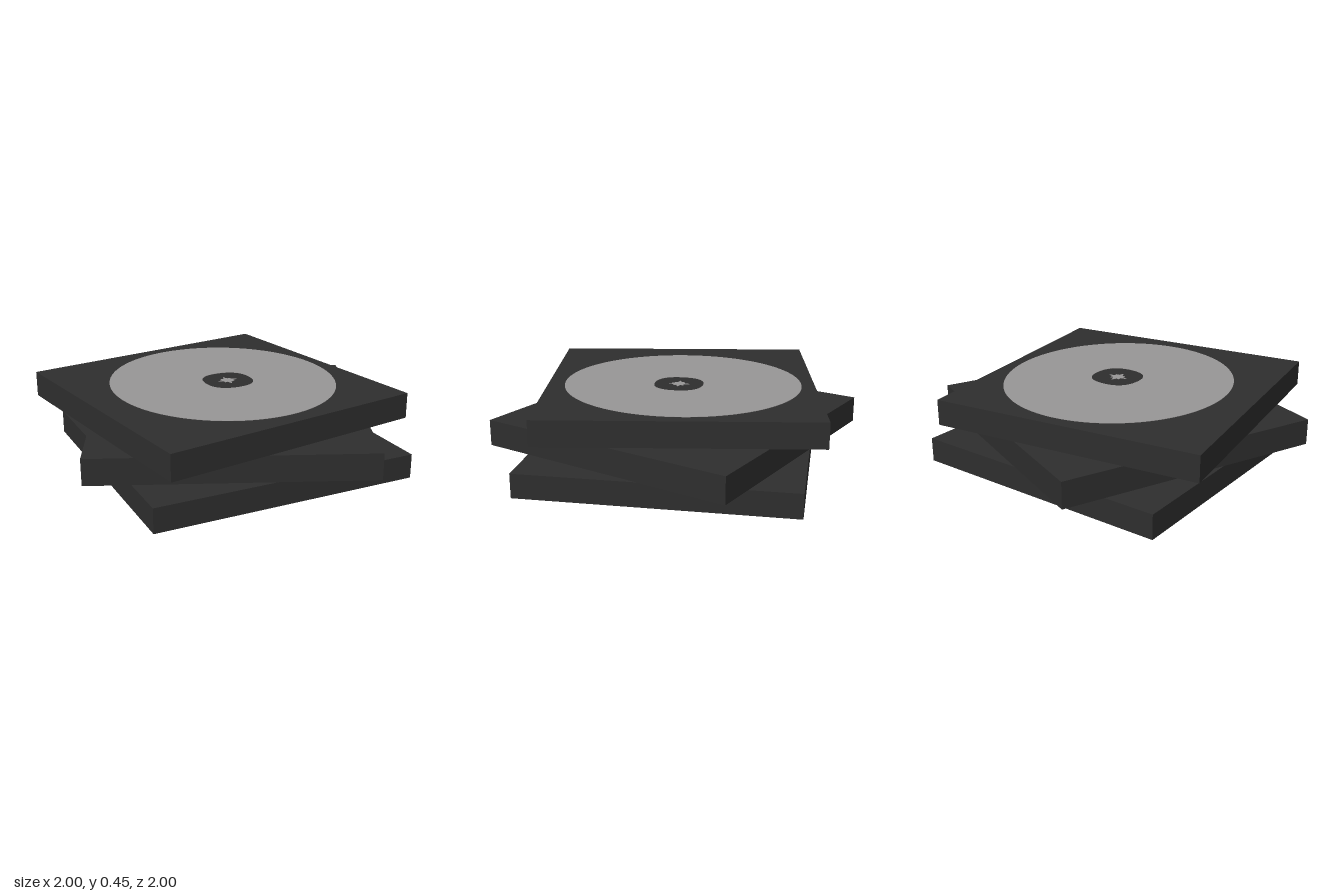
import * as THREE from 'three';

const black = new THREE.MeshStandardMaterial({ color: 0x2e2e2e });
black.name = 'charcoal black';
const grey = new THREE.MeshStandardMaterial({ color: 0x989696 });
grey.name = 'disc grey';

const SIDE = 1.523;

// Square case lying flat between two heights
function makeCase(name, bottom, top, x, turn) {
  const mesh = new THREE.Mesh(new THREE.BoxGeometry(SIDE, top - bottom, SIDE), black);
  mesh.name = name;
  mesh.position.set(x, (bottom + top) / 2, 0);
  mesh.rotation.y = turn;
  return mesh;
}

// Flat printed shape, drawn in x and -z, just above the top case
function makePrint(name, shape) {
  const geometry = new THREE.ExtrudeGeometry(shape, { depth: 0.003, bevelEnabled: false, curveSegments: 64 });
  geometry.rotateX(-Math.PI / 2);
  const mesh = new THREE.Mesh(geometry, grey);
  mesh.name = name;
  mesh.position.y = 0.449;
  return mesh;
}

export function createModel() {
  const group = new THREE.Group();
  group.name = 'stackedDiscCases';

  // Stack of three twisted cases
  group.add(
    makeCase('bottomCase', 0, 0.138, 0, 0),
    makeCase('middleCase', 0.153, 0.3, 0, -0.405),
    makeCase('topCase', 0.306, 0.45, -0.07, 0.152),
  );

  // Disc with a dark hub opening
  const disc = new THREE.Shape().absellipse(-0.017, 0.018, 0.638, 0.678, 0, Math.PI * 2);
  const hub = [];
  for (let i = 0; i < 48; i++) {
    const a = (i / 48) * Math.PI * 2;
    const r = 0.144 - 0.004 * Math.cos(4 * a);
    hub.push(new THREE.Vector2(0.01 + r * Math.cos(a), r * Math.sin(a)));
  }
  disc.holes.push(new THREE.Path(hub));
  group.add(makePrint('disc', disc));

  // Small spiky star in the hub
  const star = [];
  for (let i = 0; i < 16; i++) {
    const a = (i / 16) * Math.PI * 2;
    const r = i % 2 ? 0.03 : i % 4 ? 0.042 : 0.06;
    star.push(new THREE.Vector2(0.008 + r * Math.cos(a), r * Math.sin(a)));
  }
  group.add(makePrint('hubStar', new THREE.Shape(star)));

  return group;
}
